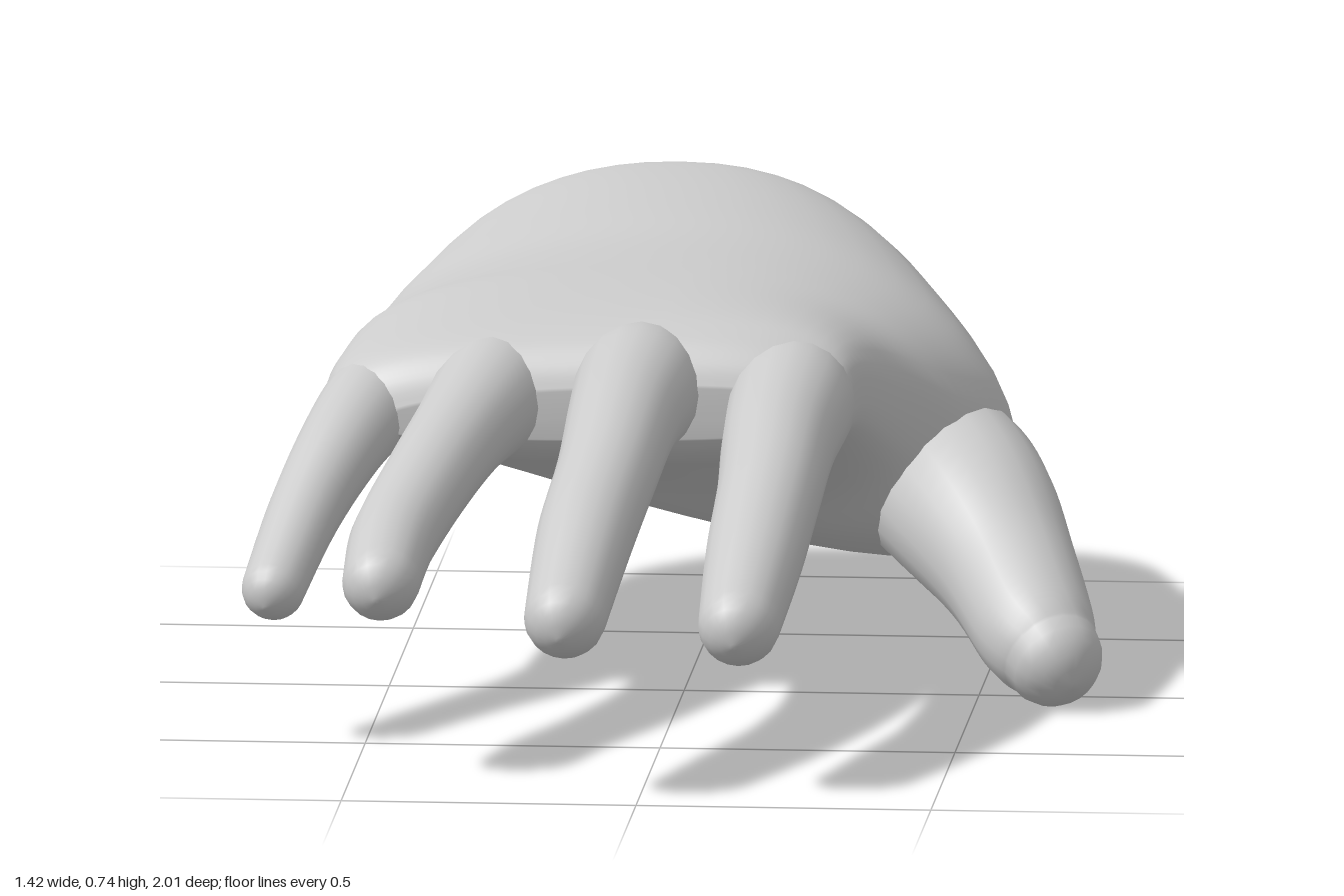
import * as THREE from 'three';

const material = new THREE.MeshStandardMaterial({ color: 0xcccccc });
const { lerp } = THREE.MathUtils;

// Catmull-Rom resampling of rows of numbers
function resample(rows, steps) {
  const out = [];
  const last = rows.length - 1;
  for (let s = 0; s <= last * steps; s++) {
    const i = Math.min(Math.floor(s / steps), last - 1);
    const t = s / steps - i;
    const [a, b, c, d] = [-1, 0, 1, 2].map((k) => rows[Math.max(0, Math.min(last, i + k))]);
    out.push(b.map((_, k) => 0.5 * (2 * b[k] + (c[k] - a[k]) * t
      + (2 * a[k] - 5 * b[k] + 4 * c[k] - d[k]) * t * t
      + (3 * b[k] - a[k] - 3 * c[k] + d[k]) * t * t * t)));
  }
  return out;
}

// Closed smooth skin over rings of points, capped at both ends
function loft(name, rings) {
  const n = rings[0].length;
  const points = rings.flat();
  const index = [];
  for (let i = 0; i < rings.length - 1; i++) {
    for (let j = 0; j < n; j++) {
      const k = (j + 1) % n;
      const a = i * n + j, b = i * n + k, c = b + n, d = a + n;
      index.push(a, b, c, a, c, d);
    }
  }
  const centre = (ring) => ring.reduce((s, p) => s.add(p), new THREE.Vector3()).divideScalar(n);
  const start = points.push(centre(rings[0])) - 1;
  const end = points.push(centre(rings[rings.length - 1])) - 1;
  const base = (rings.length - 1) * n;
  for (let j = 0; j < n; j++) {
    const k = (j + 1) % n;
    index.push(start, k, j, end, base + j, base + k);
  }
  const geometry = new THREE.BufferGeometry().setFromPoints(points);
  geometry.setIndex(index);
  geometry.computeVertexNormals();
  const mesh = new THREE.Mesh(geometry, material);
  mesh.name = name;
  return mesh;
}

// Palm sections: z, then x, top, edge height and underside at the right and
// left sides, and how square the upper half is (1 is an ellipse)
function palm() {
  const sections = [
    [-1.00, -0.23, 0.03, 0.60, 0.59, 0.53, 0.51, 0.46, 0.45, 0.9],
    [-0.97, -0.35, 0.14, 0.68, 0.67, 0.52, 0.49, 0.39, 0.36, 0.9],
    [-0.90, -0.43, 0.27, 0.73, 0.73, 0.50, 0.45, 0.33, 0.26, 0.9],
    [-0.80, -0.49, 0.365, 0.745, 0.725, 0.49, 0.41, 0.31, 0.18, 0.9],
    [-0.60, -0.55, 0.485, 0.73, 0.70, 0.48, 0.32, 0.34, 0.07, 0.95],
    [-0.45, -0.575, 0.53, 0.71, 0.68, 0.48, 0.30, 0.35, 0.07, 0.97],
    [-0.30, -0.585, 0.46, 0.69, 0.675, 0.48, 0.35, 0.37, 0.14, 0.88],
    [-0.18, -0.595, 0.355, 0.67, 0.67, 0.48, 0.44, 0.38, 0.26, 0.75],
    [0.00, -0.61, 0.31, 0.62, 0.665, 0.475, 0.50, 0.40, 0.37, 0.65],
    [0.07, -0.60, 0.29, 0.595, 0.64, 0.47, 0.50, 0.41, 0.40, 0.65],
    [0.11, -0.57, 0.27, 0.56, 0.60, 0.47, 0.50, 0.43, 0.43, 0.7],
    [0.13, -0.51, 0.23, 0.52, 0.56, 0.47, 0.50, 0.45, 0.46, 0.8],
  ];
  const power = (v, p) => Math.sign(v) * Math.abs(v) ** p;
  const rings = resample(sections, 5).map(([z, x0, x1, t0, t1, e0, e1, b0, b1, square]) => {
    const ring = [];
    for (let j = 0; j < 48; j++) {
      const a = (j / 48) * Math.PI * 2;
      const p = j < 24 ? square : 0.75;
      const u = 0.5 + 0.5 * power(Math.cos(a), p);
      const edge = lerp(e0, e1, u);
      const rim = j < 24 ? lerp(t0, t1, u) : lerp(b0, b1, u);
      const y = edge + Math.abs(power(Math.sin(a), p)) * (rim - edge);
      ring.push(new THREE.Vector3(lerp(x0, x1, u), y, z));
    }
    return ring;
  });
  return loft('palm', rings);
}

// Finger along centre points [x, y, z, radius] with a domed tip
function finger(name, path) {
  const rows = resample(path, 6);
  const up = new THREE.Vector3(0, 1, 0);
  const rings = [];
  const addRing = (c, t, r) => {
    const side = new THREE.Vector3().crossVectors(up, t).normalize();
    const lift = new THREE.Vector3().crossVectors(t, side);
    rings.push(Array.from({ length: 20 }, (_, j) => {
      const a = (j / 20) * Math.PI * 2;
      return c.clone().addScaledVector(side, r * Math.cos(a)).addScaledVector(lift, r * Math.sin(a));
    }));
  };
  const at = (i) => new THREE.Vector3(...rows[Math.max(0, Math.min(rows.length - 1, i))].slice(0, 3));
  rows.forEach((row, i) => {
    const tangent = at(i + 1).sub(at(i - 1)).normalize();
    addRing(at(i), tangent, row[3]);
    if (i < rows.length - 1) return;
    for (let k = 1; k <= 5; k++) {
      const a = (k / 5.3) * Math.PI / 2;
      addRing(at(i).addScaledVector(tangent, row[3] * Math.sin(a)), tangent, row[3] * Math.cos(a));
    }
  });
  return loft(name, rings);
}

export function createModel() {
  const hand = new THREE.Group();
  hand.name = 'hand';
  hand.add(
    palm(),
    finger('thumb', [
      [0.34, 0.31, -0.60, 0.12], [0.395, 0.29, -0.45, 0.152], [0.465, 0.26, -0.27, 0.148],
      [0.545, 0.185, -0.10, 0.118], [0.60, 0.115, 0.03, 0.102], [0.63, 0.085, 0.08, 0.086],
    ]),
    finger('indexFinger', [
      [0.19, 0.515, -0.04, 0.09], [0.19, 0.51, 0.08, 0.106], [0.185, 0.485, 0.30, 0.097],
      [0.185, 0.44, 0.50, 0.089], [0.175, 0.365, 0.70, 0.083], [0.165, 0.29, 0.88, 0.07],
    ]),
    finger('middleFinger', [
      [-0.07, 0.535, -0.04, 0.09], [-0.07, 0.535, 0.08, 0.108], [-0.08, 0.52, 0.30, 0.095],
      [-0.09, 0.47, 0.52, 0.086], [-0.11, 0.40, 0.73, 0.082], [-0.125, 0.31, 0.94, 0.07],
    ]),
    finger('ringFinger', [
      [-0.30, 0.52, -0.06, 0.085], [-0.32, 0.515, 0.05, 0.10], [-0.36, 0.485, 0.26, 0.084],
      [-0.40, 0.44, 0.46, 0.077], [-0.44, 0.38, 0.65, 0.073], [-0.45, 0.335, 0.785, 0.066],
    ]),
    finger('littleFinger', [
      [-0.50, 0.50, -0.10, 0.07], [-0.525, 0.49, 0.02, 0.083], [-0.565, 0.45, 0.17, 0.074],
      [-0.615, 0.365, 0.33, 0.063], [-0.655, 0.265, 0.505, 0.054],
    ]),
  );
  return hand;
}
